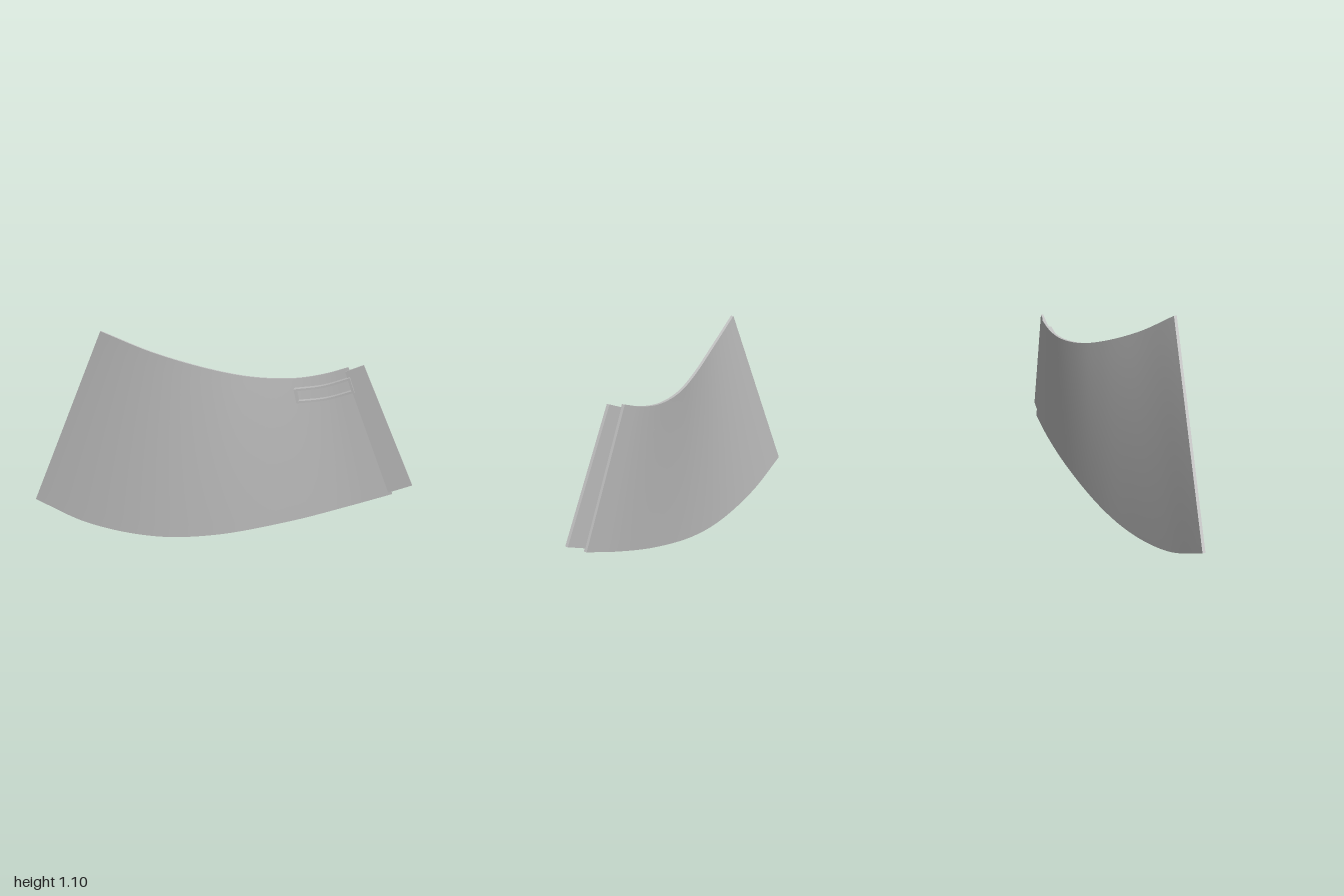
import * as THREE from 'three';
import { mergeGeometries } from 'three/addons/utils/BufferGeometryUtils.js';

const V = (p) => new THREE.Vector3(...p);
const curve = (pts) => new THREE.CatmullRomCurve3(pts.map(V), false, 'centripetal');

// Smooth patch from fn(u, v); its front is the side where u x v points
function patch(fn, nu, nv) {
  const pos = [], idx = [];
  for (let i = 0; i <= nu; i++)
    for (let j = 0; j <= nv; j++) pos.push(...fn(i / nu, j / nv).toArray());
  for (let i = 0; i < nu; i++)
    for (let j = 0; j < nv; j++) {
      const a = i * (nv + 1) + j, b = a + nv + 1;
      idx.push(a, b, b + 1, a, b + 1, a + 1);
    }
  const g = new THREE.BufferGeometry();
  g.setAttribute('position', new THREE.Float32BufferAttribute(pos, 3));
  g.setIndex(idx);
  g.computeVertexNormals();
  return g;
}

// Closed solid from fn(u, v, w), with u to the right, v up and w to the front
function solid(fn, nu, nv) {
  return mergeGeometries([
    patch((u, v) => fn(u, v, 1), nu, nv),
    patch((u, v) => fn(1 - u, v, 0), nu, nv),
    patch((u, w) => fn(u, 1, 1 - w), nu, 1),
    patch((u, w) => fn(u, 0, w), nu, 1),
    patch((w, v) => fn(1, v, 1 - w), 1, nv),
    patch((w, v) => fn(0, v, w), 1, nv),
  ]);
}

export function createModel() {
  const model = new THREE.Group();
  const grey = new THREE.MeshStandardMaterial({ color: 0xc0c0c0 });
  grey.name = 'panel grey';
  const add = (name, geometry) => {
    const m = new THREE.Mesh(geometry, grey);
    m.name = name;
    model.add(m);
  };

  // Twisted sheet, ruled between its upper and lower edges
  const top = curve([[-0.565, 1.103, 0.054], [-0.3, 0.998, 0.028], [0, 0.912, -0.018],
    [0.2, 0.878, -0.046], [0.4, 0.877, -0.058], [0.55, 0.905, -0.054], [0.665, 0.943, -0.042]]);
  const bottom = curve([[-1, 0.16, -0.058], [-0.7, 0.052, -0.036], [-0.33, 0.006, -0.02],
    [0, 0.036, -0.018], [0.4, 0.14, -0.016], [0.7, 0.246, -0.004], [0.905, 0.327, 0.017]]);
  const T = 0.015;
  const sheet = (u, v, w) => {
    const p = bottom.getPointAt(u).lerp(top.getPointAt(u), v);
    p.z += (w - 0.5) * T;
    return p;
  };
  add('curvedPanel', solid(sheet, 48, 12));

  // Joining flange, lapped onto the front of the sheet's right end
  const inTop = V([0.65, 0.922, -0.032]), inBottom = V([0.885, 0.335, 0.024]);
  const outTop = V([0.74, 0.96, -0.015]), outBottom = V([0.998, 0.385, 0.045]);
  add('joiningFlange', solid((u, v, w) => {
    const p = inBottom.clone().lerp(outBottom, u).lerp(inTop.clone().lerp(outTop, u), v);
    p.z += (w - 0.5) * 0.014;
    return p;
  }, 1, 1));

  // Raised slot frame: four thin walls following a shallow arc
  const upper = curve([[0.402, 0.83, 0], [0.545, 0.853, 0], [0.675, 0.898, 0]]);
  const lower = curve([[0.418, 0.76, 0], [0.565, 0.782, 0], [0.7, 0.828, 0]]);
  const front = (x) => -0.002 + 0.02 * Math.max(0, (x - 0.5) / 0.2) ** 2;
  const back = (x) => -0.058 + 0.02 * Math.max(0, (x - 0.45) / 0.25);
  const wall = (u0, u1, v0, v1, n) => solid((u, v, w) => {
    const s = u0 + (u1 - u0) * u;
    const p = lower.getPoint(s).lerp(upper.getPoint(s), v0 + (v1 - v0) * v);
    p.z = THREE.MathUtils.lerp(back(p.x), front(p.x), w);
    return p;
  }, n, 1);
  add('slotFrame', mergeGeometries([
    wall(0, 1, 0, 0.14, 12), wall(0, 1, 0.86, 1, 12),
    wall(0, 0.04, 0.14, 0.86, 1), wall(0.96, 1, 0.14, 0.86, 1),
  ]));

  return model;
}
